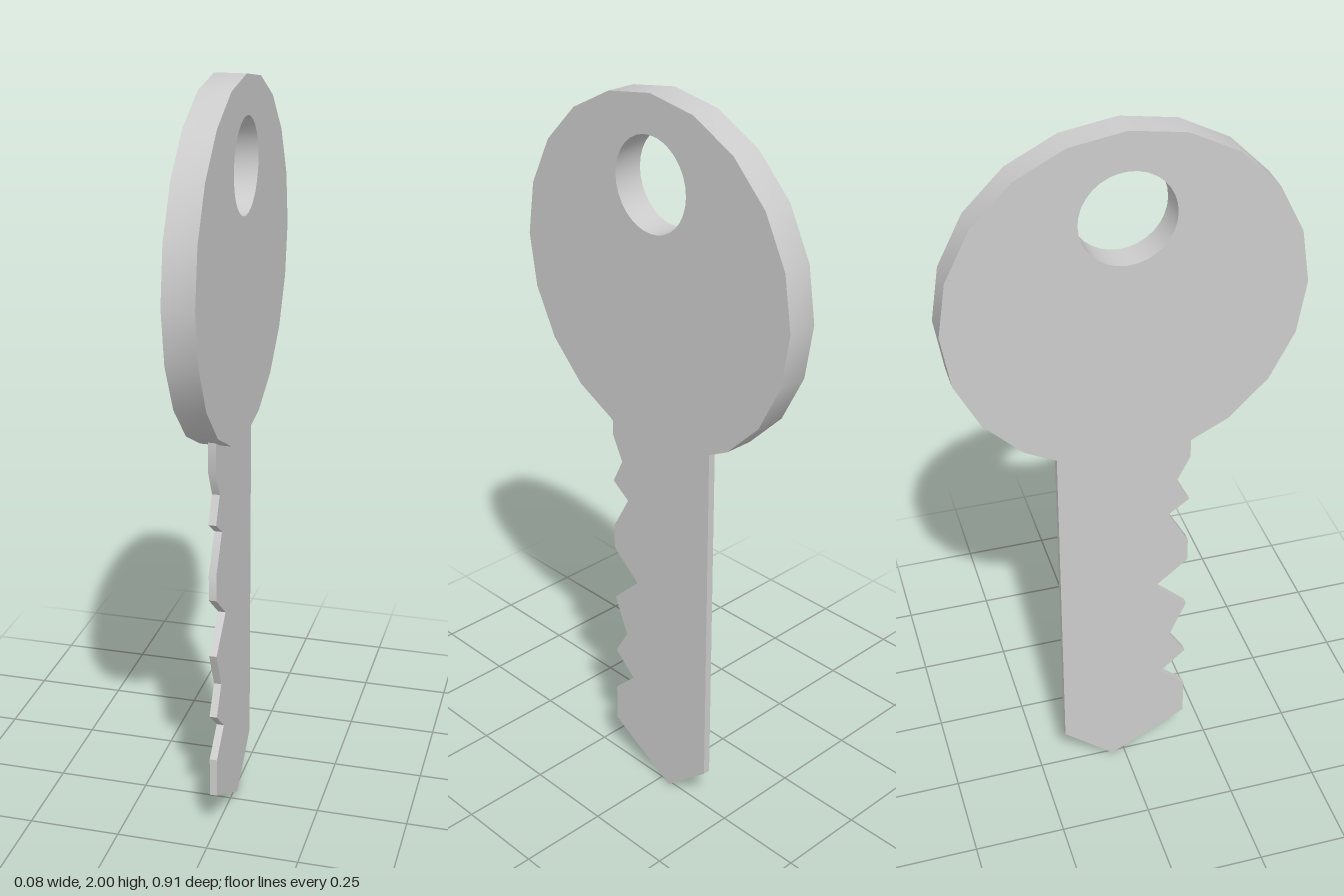
import * as THREE from 'three';
import { toCreasedNormals } from 'three/addons/utils/BufferGeometryUtils.js';

const material = new THREE.MeshStandardMaterial({ color: 0xcccccc });

// Regular polygon as 2D points
function ring(radius, cy, sides) {
  return Array.from({ length: sides }, (_, i) => {
    const a = (i / sides) * Math.PI * 2;
    return new THREE.Vector2(Math.cos(a) * radius, cy + Math.sin(a) * radius);
  });
}

// Flat plate, centred on x = 0; the outline's horizontal axis becomes -z
function plate(name, shape, thickness) {
  const geometry = new THREE.ExtrudeGeometry(shape, { depth: thickness, bevelEnabled: false });
  geometry.translate(0, 0, -thickness / 2);
  geometry.rotateY(Math.PI / 2);
  const mesh = new THREE.Mesh(toCreasedNormals(geometry, Math.PI / 6), material);
  mesh.name = name;
  return mesh;
}

export function createModel() {
  const key = new THREE.Group();
  key.name = 'key';

  // Round grip with a hole for the ring
  const bow = new THREE.Shape(ring(0.455, 1.545, 20));
  bow.holes.push(new THREE.Path(ring(0.12, 1.782, 32)));
  key.add(plate('bow', bow, 0.08));

  // Thin blade: notched edge, pointed tip, straight spine
  const outline = [
    [-0.178, 1.14], [-0.178, 1.05], [-0.143, 0.98], [-0.178, 0.91],
    [-0.122, 0.87], [-0.178, 0.77], [-0.178, 0.7], [-0.087, 0.625],
    [-0.178, 0.54], [-0.132, 0.435], [-0.178, 0.36], [-0.107, 0.297],
    [-0.178, 0.23], [-0.178, 0.12], [0.037, 0], [0.178, 0.12], [0.178, 1.14],
  ];
  const blade = new THREE.Shape(outline.map(([u, v]) => new THREE.Vector2(u, v)));
  key.add(plate('blade', blade, 0.02));

  return key;
}
